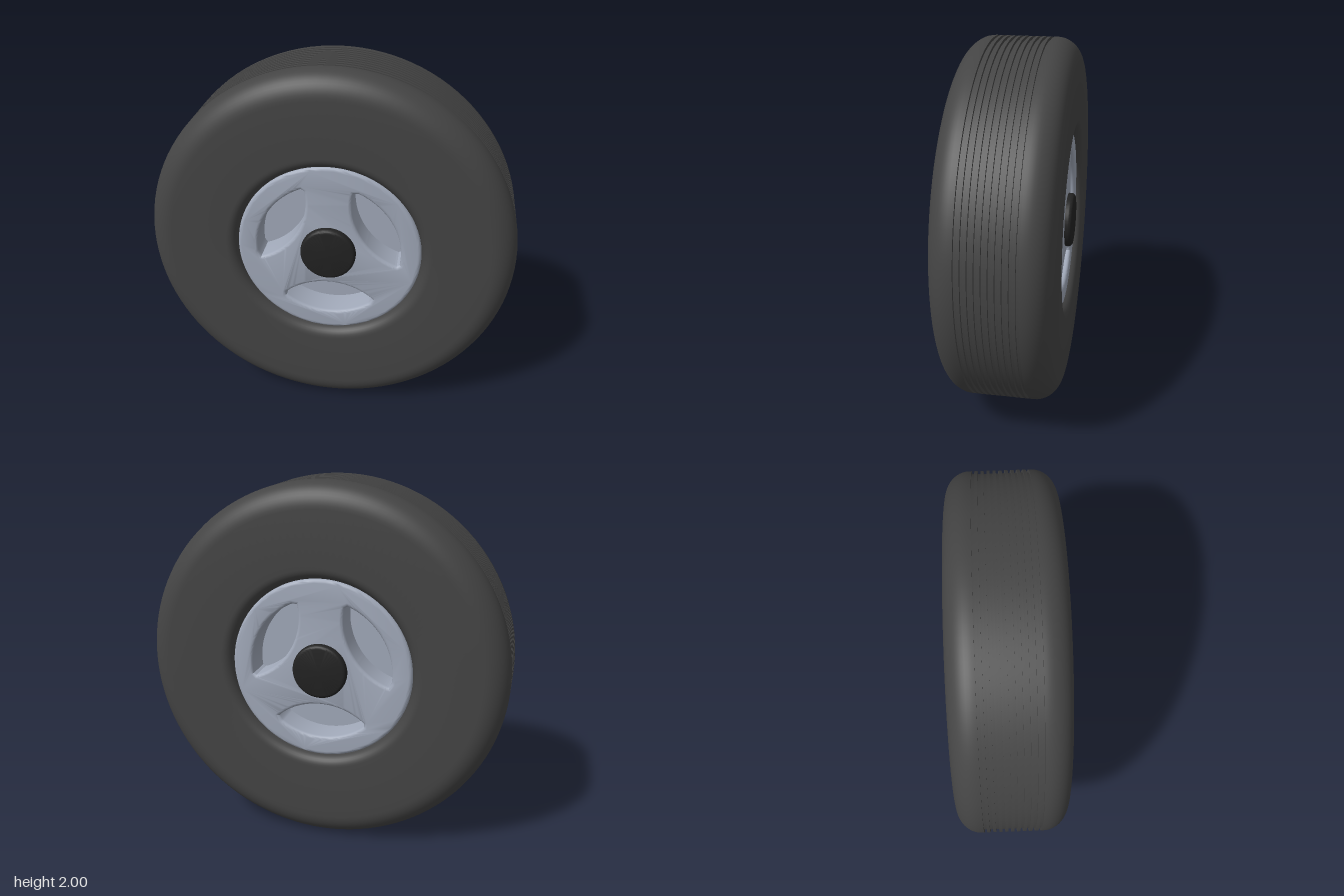
import * as THREE from 'three';
import { toCreasedNormals } from 'three/addons/utils/BufferGeometryUtils.js';

const SEGMENTS = 112;
const V = (r, z) => new THREE.Vector2(r, z);

// Quarter-ellipse fillet points around (cr, cz), from angle a0 to a1 (degrees)
function fillet(cr, cz, rr, rz, a0, a1, n) {
  return Array.from({ length: n + 1 }, (_, i) => {
    const a = THREE.MathUtils.degToRad(a0 + ((a1 - a0) * i) / n);
    return V(cr + rr * Math.cos(a), cz + rz * Math.sin(a));
  });
}

// Revolve a profile (radius, z) around the wheel axis, z
function revolve(points) {
  const geo = new THREE.LatheGeometry(points, SEGMENTS);
  geo.rotateX(Math.PI / 2);
  return toCreasedNormals(geo, 0.6);
}

// Mirror a half profile running from the middle to the front, giving back-to-front order
function mirrored(half) {
  return [...half.map((p) => V(p.x, -p.y)).reverse(), ...half];
}

function tireGeometry() {
  const half = [];
  const grooves = 10, pitch = 0.032, depth = 0.016;
  // Tread: evenly spaced square grooves, front half only
  for (let i = 0; i < grooves / 2; i++) {
    const z = (i + 0.5) * pitch;
    half.push(V(1, z - pitch / 4), V(1 - depth, z - pitch / 4),
      V(1 - depth, z + pitch / 4), V(1, z + pitch / 4));
  }
  // Shoulder, sidewall and rounded bead
  half.push(...fillet(0.865, 0.165, 0.135, 0.13, 0, 90, 12));
  half.push(...fillet(0.56, 0.235, 0.06, 0.06, 90, 180, 8));
  half.push(V(0.48, 0.2));
  return revolve(mirrored(half));
}

// Lens-shaped pocket outline below the hub, turned about the centre
function pocket(angle) {
  const rad = THREE.MathUtils.degToRad;
  const p = new THREE.Path();
  p.absarc(0, 0, 0.39, rad(270 - 38), rad(270 + 38), false);
  p.quadraticCurveTo(0.254, -0.298, 0.225, -0.277);
  p.absarc(0, -0.569, 0.369, rad(52.4), rad(127.6), false);
  p.quadraticCurveTo(-0.254, -0.298, -0.24, -0.307);
  const pts = p.getPoints(20).map((v) => v.rotateAround(V(0, 0), angle));
  // Drop coincident joints
  const clean = pts.filter((v, i) => v.distanceTo(pts[(i + 1) % pts.length]) > 0.002);
  return new THREE.Path(clean);
}

function rimGeometry() {
  const bevel = 0.02, halfWidth = 0.26;
  const disc = new THREE.Shape();
  disc.absarc(0, 0, 0.5, 0, Math.PI * 2, false);
  for (let i = 0; i < 3; i++) disc.holes.push(pocket((i * Math.PI * 2) / 3));
  const geo = new THREE.ExtrudeGeometry(disc, {
    depth: 2 * (halfWidth - bevel), curveSegments: 48,
    bevelEnabled: true, bevelThickness: bevel, bevelSize: bevel, bevelOffset: -bevel, bevelSegments: 4,
  });
  geo.translate(0, 0, -(halfWidth - bevel));
  return toCreasedNormals(geo, 0.6);
}

export function createModel() {
  const wheel = new THREE.Group();
  wheel.name = 'wheel';
  const rubber = new THREE.MeshStandardMaterial({ color: 0x444444 });
  const metal = new THREE.MeshStandardMaterial({ color: 0xa0a8b8 });
  const black = new THREE.MeshStandardMaterial({ color: 0x222222 });

  const add = (name, geometry, material) => {
    const mesh = new THREE.Mesh(geometry, material);
    mesh.name = name;
    mesh.position.y = 1;
    wheel.add(mesh);
  };

  add('tire', tireGeometry(), rubber);
  add('rim', rimGeometry(), metal);

  // Solid web closing the pockets from both sides
  add('rimWeb', revolve([V(0, -0.1), V(0.45, -0.1), V(0.45, 0.1), V(0, 0.1)]), metal);

  // Hub caps on both faces, joined by one axle
  add('hubCap', revolve(mirrored([...fillet(0.13, 0.277, 0.02, 0.02, 0, 90, 5), V(0, 0.297)])), black);
  return wheel;
}
